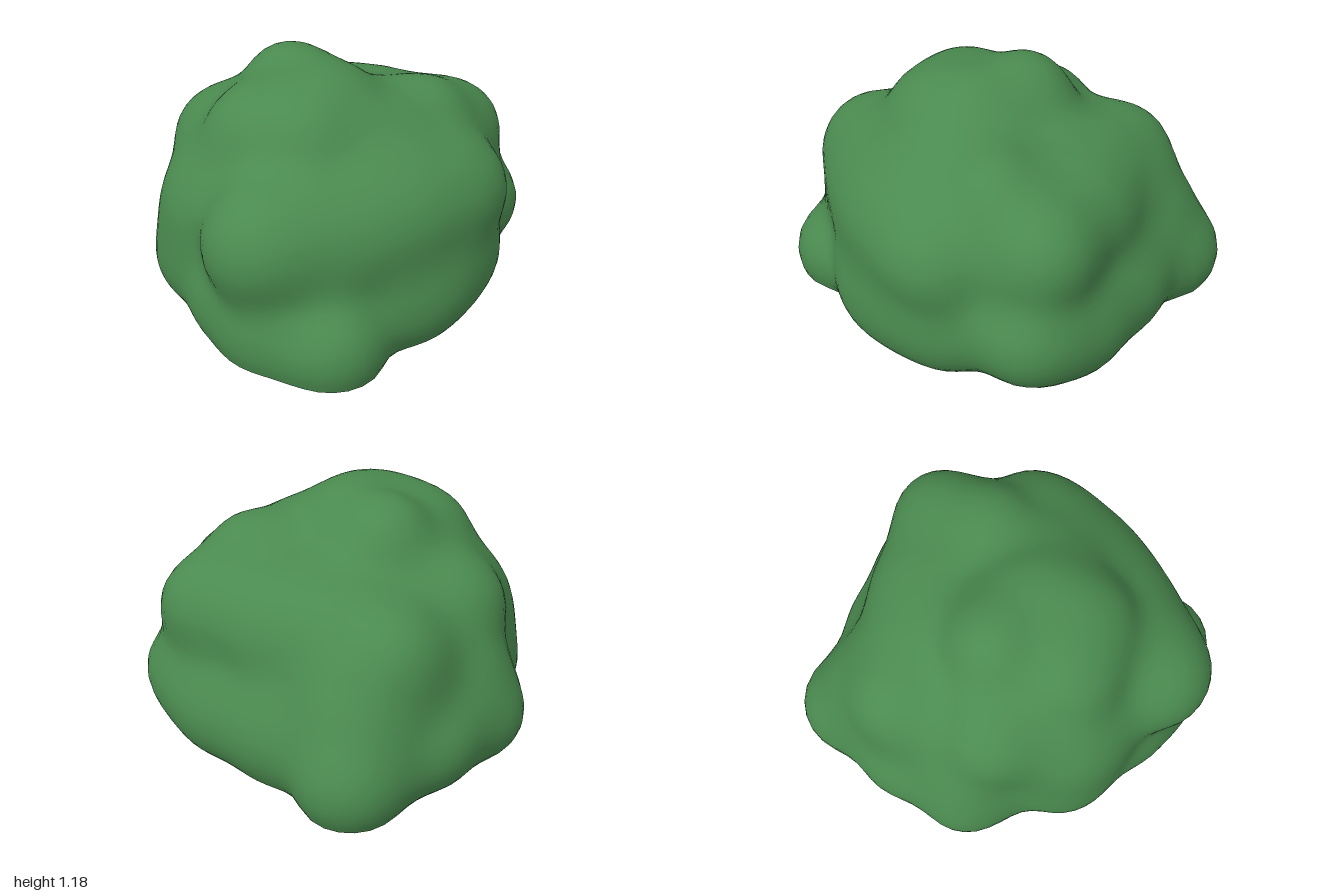
import * as THREE from 'three';
import { mergeVertices } from 'three/addons/utils/BufferGeometryUtils.js';

// Leaf clumps: x, y, z, radius
const core = [[0, 0.34, 0, 0.7], [-0.1, 0.2, -0.2, 0.58]];
const crown = [
  [-0.17, 0.96, -0.02, 0.22], [0.1, 0.91, 0.12, 0.24], [0.05, 0.85, 0.33, 0.25],
  [-0.2, 0.84, 0.32, 0.23], [0.43, 0.79, -0.22, 0.24], [-0.49, 0.67, 0.05, 0.25],
  [0.35, 0.7, 0.12, 0.27],
];
const front = [
  [0.04, 0.53, 0.69, 0.3], [0.35, 0.1, 0.71, 0.26], [0.05, 0.1, 0.7, 0.25],
  [-0.19, 0.15, 0.61, 0.2], [-0.44, 0.2, 0.37, 0.26], [-0.34, 0.5, 0.37, 0.29],
  [0.27, 0.53, 0.5, 0.28], [0.45, 0.54, 0.3, 0.28], [0.52, 0.17, 0.32, 0.26],
];
const sides = [
  [0.57, 0.56, 0.1, 0.26], [0.65, 0.56, -0.08, 0.25], [0.61, 0.2, 0.12, 0.25],
  [0.62, 0.2, -0.12, 0.25], [0.61, 0.28, -0.5, 0.25], [-0.67, 0.2, -0.05, 0.25],
  [-0.56, 0.4, -0.1, 0.23], [-0.59, 0.2, -0.4, 0.23],
];
const back = [
  [-0.42, 0.61, -0.43, 0.26], [-0.1, 0.63, -0.43, 0.26], [0.18, 0.63, -0.46, 0.27],
  [0.5, 0.66, -0.5, 0.24], [-0.4, 0.15, -0.73, 0.27], [-0.33, 0.38, -0.57, 0.27],
  [0.05, 0.2, -0.63, 0.26], [0.38, 0.2, -0.58, 0.26],
];
const clumps = [...core, ...crown, ...front, ...sides, ...back];

// Distance to the softly blended clumps
function distance(x, y, z) {
  const k = 0.18;
  let d = 10;
  for (const [cx, cy, cz, r] of clumps) {
    const e = Math.hypot(x - cx, y - cy, z - cz) - r;
    const h = Math.max(k - Math.abs(d - e), 0) / k;
    d = Math.min(d, e) - h * h * k * 0.25;
  }
  return d;
}

// Walk inwards along a direction until the foliage is met
function reach(v) {
  let t = 1.6;
  for (let i = 0; i < 80; i++) {
    const d = distance(v.x * t, v.y * t, v.z * t);
    if (d < 0.0005) break;
    t -= d * 0.9;
  }
  return t;
}

// Push every vertex except a centre point out to the foliage
function inflate(geometry) {
  const p = geometry.attributes.position;
  const v = new THREE.Vector3();
  for (let i = 0; i < p.count; i++) {
    v.fromBufferAttribute(p, i);
    if (v.length() < 0.5) continue;
    v.normalize();
    v.multiplyScalar(reach(v));
    p.setXYZ(i, v.x, Math.max(v.y, 0), v.z);
  }
}

export function createModel() {
  const group = new THREE.Group();
  group.name = 'bush';
  const material = new THREE.MeshStandardMaterial({ color: 0x4a8a4f });

  // Lumpy dome of leaves
  let dome = new THREE.SphereGeometry(1, 96, 40, 0, Math.PI * 2, 0, Math.PI / 2);
  dome.deleteAttribute('uv');
  dome.deleteAttribute('normal');
  inflate(dome);
  dome = mergeVertices(dome, 1e-4);
  dome.computeVertexNormals();
  const foliage = new THREE.Mesh(dome, material);
  foliage.name = 'foliage';

  // Flat underside sharing the dome's rim
  const base = new THREE.CircleGeometry(1, 96);
  base.rotateX(Math.PI / 2);
  inflate(base);
  const underside = new THREE.Mesh(base, material);
  underside.name = 'underside';

  group.add(foliage, underside);
  return group;
}
